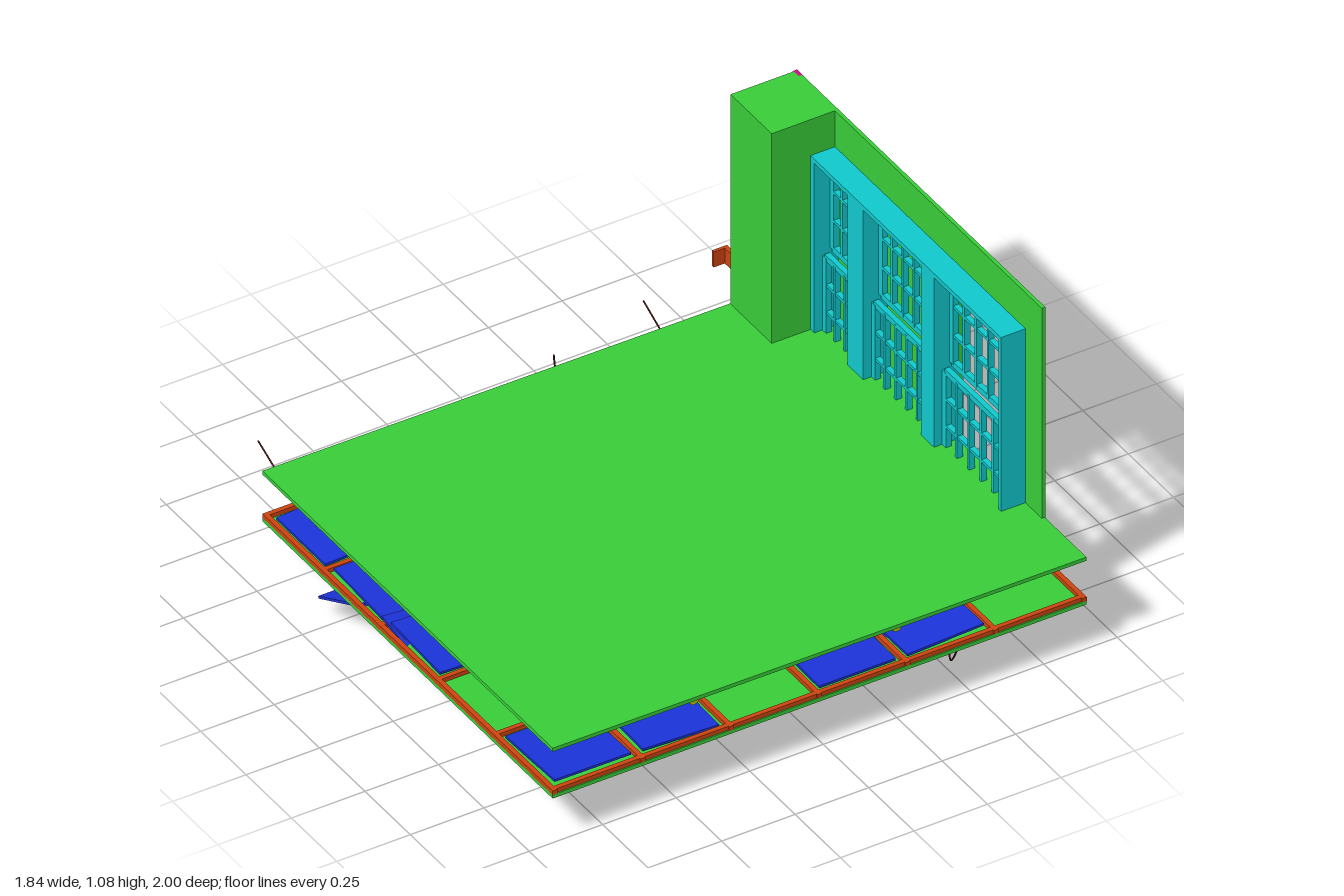
import * as THREE from 'three';

const mat = (color) => new THREE.MeshStandardMaterial({ color });

export function createModel() {
  const root = new THREE.Group();
  const green = mat(0x38cc38), cyan = mat(0x10c8cc), yellow = mat(0xbcc000), blue = mat(0x1c33d8);
  const orange = mat(0xcc4410), magenta = mat(0xcc1088), dark = mat(0x4a1818);

  const add = (name, geo, m, parent = root) => {
    const mesh = new THREE.Mesh(geo, m);
    mesh.name = name;
    parent.add(mesh);
    return mesh;
  };
  // Box given by its lower and upper limits on each axis
  const box = (name, m, x0, x1, y0, y1, z0, z1, parent) => {
    const mesh = add(name, new THREE.BoxGeometry(x1 - x0, y1 - y0, z1 - z0), m, parent);
    mesh.position.set((x0 + x1) / 2, (y0 + y1) / 2, (z0 + z1) / 2);
    return mesh;
  };
  // Upright wall in the zy plane with rectangular openings [z0, z1, y0, y1]
  const rect = (P, z0, z1, y0, y1) => {
    const p = new P();
    p.moveTo(-z1, y0);
    p.lineTo(-z0, y0);
    p.lineTo(-z0, y1);
    p.lineTo(-z1, y1);
    p.closePath();
    return p;
  };
  const wall = (name, m, x0, x1, outline, holes) => {
    const s = rect(THREE.Shape, ...outline);
    s.holes = holes.map((h) => rect(THREE.Path, ...h));
    const mesh = add(name, new THREE.ExtrudeGeometry(s, { depth: x1 - x0, bevelEnabled: false }), m);
    mesh.rotation.y = Math.PI / 2;
    mesh.position.x = x0;
    return mesh;
  };
  const pipe = (name, a, b, r) => {
    const path = new THREE.LineCurve3(new THREE.Vector3(...a), new THREE.Vector3(...b));
    const mesh = add(name, new THREE.CylinderGeometry(r, r, path.getLength(), 16), yellow);
    mesh.position.copy(path.getPoint(0.5));
    mesh.quaternion.setFromUnitVectors(new THREE.Vector3(0, 1, 0), path.getTangent(0));
    return mesh;
  };

  // Floor above and ceiling board below
  const floor = box('upperFloor', green, -0.92, 0.895, 0.325, 0.338, -0.6, 1);
  floor.rotation.z = -0.006;
  box('ceilingBoard', green, -0.92, 0.895, 0.163, 0.176, -0.6, 1);

  // Ceiling grid
  const grid = new THREE.Group();
  grid.name = 'ceilingGrid';
  root.add(grid);
  const NX = 6, NZ = 5, sx = 1.8 / NX, sz = 1.58 / NZ;
  for (let i = 0; i <= NX; i++) {
    const x = -0.912 + i * sx;
    box('gridBarLong', orange, x - 0.008, x + 0.008, 0.174, 0.19, -0.6, 1, grid);
  }
  for (let j = 0; j <= NZ; j++) {
    const z = -0.592 + j * sz;
    box('gridBarCross', orange, -0.92, 0.895, 0.174, 0.19, z - 0.008, z + 0.008, grid);
  }

  // Loose ceiling tiles, each tilted a little by rule
  const tiles = new THREE.Group();
  tiles.name = 'ceilingTiles';
  root.add(tiles);
  for (let i = 0; i < NX; i++) for (let j = 0; j < NZ; j++) {
    if ((i * 2 + j) % 5 === 3 || (i === 5 && j > 2)) continue;
    const t = box('ceilingTile', blue, -0.13, 0.13, -0.004, 0.004, -0.135, 0.135, tiles);
    t.position.set(-0.912 + (i + 0.5) * sx, 0.188, -0.592 + (j + 0.5) * sz);
    t.rotation.set(0.05 * Math.sin(i * 3 + j), 0, 0.05 * Math.cos(i + j * 2));
  }
  // Tiles broken through the ceiling: x, y, z, tilt about x, tilt about z
  [
    [0.55, 0.165, 0.54, 0.25, 0.08], [0.32, 0.172, 0.31, 0.2, 0.12], [0.54, 0.165, -0.38, 0.3, -0.08],
    [-0.13, 0.15, 0.03, 0.5, 0.05], [-0.8, 0.17, 0.12, 0.2, -0.1], [0.3, 0.168, 0.86, 0.25, 0.1],
    [-0.58, 0.175, 0.75, 0.2, -0.15],
  ].forEach(([x, y, z, rx, rz]) => {
    const t = box('fallenTile', blue, -0.1, 0.1, -0.004, 0.004, -0.1, 0.1, tiles);
    t.position.set(x, y, z);
    t.rotation.set(rx, 0, rz);
  });
  const hanging = box('hangingTile', blue, -0.1, 0.1, -0.004, 0.004, -0.13, 0.13, tiles);
  hanging.position.set(-0.81, 0.125, -0.19);
  hanging.rotation.x = -0.45;

  // Ducts and pipes between the two boards
  pipe('mainDuct', [-0.71, 0.25, 0.2], [0.03, 0.245, 0.2], 0.042);
  pipe('mainDuct', [0.02, 0.25, 0.24], [0.885, 0.243, 0.24], 0.037);
  pipe('thinPipe', [-0.37, 0.308, 0.45], [0.32, 0.302, 0.45], 0.017);
  pipe('thinPipe', [0.32, 0.31, 0.35], [0.88, 0.304, 0.35], 0.017);
  for (const [x, y, r] of [[-0.42, 0.305, 0.016], [0.27, 0.303, 0.016]])
    pipe('crossPipe', [x, y, -0.57], [x, y, 0.97], r);
  [[-0.8, 0.25, -0.5], [-0.53, 0.25, -0.52], [0.09, 0.25, -0.54], [0.3, 0.25, -0.52], [-0.8, 0.25, 0.72]]
    .forEach(([x, y, z], i) => {
      const b = box('squareDuct', yellow, -0.03, 0.03, -0.03, 0.03, -0.07, 0.07);
      b.position.set(x, y, z);
      b.rotation.set(0, (i % 3 - 1) * 0.3, 0.35);
    });

  // Loose cables sagging beneath: start, low point, end
  const cable = (a, low, b) => {
    const pts = [a, low, b].map((p) => new THREE.Vector3(...p));
    const mid = (p, q) => p.clone().lerp(q, 0.5).setY(p.y * 0.35 + q.y * 0.65);
    const path = new THREE.CatmullRomCurve3([pts[0], mid(pts[0], pts[1]), pts[1], mid(pts[2], pts[1]), pts[2]]);
    add('cable', new THREE.TubeGeometry(path, 28, 0.0028, 6), dark);
  };
  [
    [[-0.74, 0.18, 0.6], [-0.69, 0.03, 0.78], [-0.65, 0.18, 0.93]],
    [[-0.7, 0.18, 0.7], [-0.42, 0.065, 0.72], [-0.2, 0.18, 0.62]],
    [[-0.68, 0.18, 0.72], [-0.44, 0.08, 0.7], [-0.2, 0.18, 0.64]],
    [[-0.25, 0.18, 0.18], [-0.13, 0.035, 0.04], [0.0, 0.18, -0.1]],
    [[-0.24, 0.18, 0.2], [-0.19, 0.015, 0.02], [0.01, 0.18, -0.12]],
    [[0.02, 0.18, -0.22], [0.11, 0.035, -0.6], [0.2, 0.2, -0.81]],
    [[0.5, 0.18, 0.95], [0.53, 0.008, 0.84], [0.65, 0.18, 0.63]],
    [[0.65, 0.18, -0.3], [0.6, 0.04, -0.62], [0.56, 0.2, -0.9]],
    [[-0.66, 0.18, -0.28], [-0.71, 0.05, -0.62], [-0.75, 0.2, -0.9]],
  ].forEach((c) => cable(...c));

  // Side wall, corner pier and trim
  wall('sideWall', green, 0.885, 0.897, [-0.57, 0.77, 0.165, 1.085], [[0.31, 0.665, 0.29, 0.94]]);
  box('cornerPier', green, 0.67, 0.885, 0.18, 1.085, -0.597, -0.37);
  box('cornerTrim', magenta, 0.883, 0.898, 0.18, 1.085, -0.6, -0.565);

  // Inner window bay: lid, sill, end board and mullions
  const bay = new THREE.Group();
  bay.name = 'windowBay';
  root.add(bay);
  box('bayLid', cyan, 0.802, 0.885, 0.94, 0.956, -0.37, 0.68, bay);
  box('baySill', cyan, 0.802, 0.885, 0.28, 0.295, -0.37, 0.68, bay);
  for (const [z0, z1] of [[0.665, 0.68], [0.24, 0.31], [-0.165, -0.08], [-0.37, -0.35]])
    box('bayPost', cyan, 0.802, 0.885, 0.28, 0.95, z0, z1, bay);

  // Sash windows with glazing bars
  const sash = (z0, z1, y0, y1, x, cols, rows) => {
    const g = new THREE.Group();
    g.name = 'windowSash';
    bay.add(g);
    for (let i = 0; i <= cols; i++) {
      const z = z0 + ((z1 - z0) * i) / cols, h = i % cols ? 0.005 : 0.01;
      box('uprightBar', cyan, x - 0.01, x + 0.01, y0, y1, z - h, z + h, g);
    }
    for (let j = 0; j <= rows; j++) {
      const y = y0 + ((y1 - y0) * j) / rows, h = j % rows ? 0.005 : 0.01;
      box('crossBar', cyan, x - 0.009, x + 0.009, y - h, y + h, z0, z1, g);
    }
  };
  for (const [z0, z1, cols] of [[0.32, 0.655, 5], [-0.07, 0.23, 5], [-0.34, -0.175, 3]]) {
    sash(z0, z1, 0.62, 0.93, 0.865, cols, 3);
    sash(z0, z1, 0.31, 0.6, 0.84, cols, 3);
  }

  // Raised trim on the outside of the wall
  const trim = (y0, y1, z0, z1, x1 = 0.903) => box('wallTrim', cyan, 0.89, x1, y0, y1, z0, z1);
  trim(0.94, 0.955, -0.54, 0.685);
  trim(0.275, 0.288, -0.28, 0.685);
  for (const [z0, z1] of [[0.665, 0.685], [0.295, 0.31], [0.26, 0.285], [0.235, 0.25], [-0.065, -0.05],
    [-0.09, -0.08], [-0.165, -0.1], [-0.45, -0.43], [-0.51, -0.49], [-0.54, -0.53]])
    trim(0.288, 0.94, z0, z1);
  trim(0.73, 0.742, -0.6, 0.085, 0.908);
  for (const z of [0.077, -0.212]) trim(0.175, 0.73, z - 0.009, z + 0.009, 0.908);

  // Outer door wall with its slot, panels and small frame
  wall('doorWall', green, 0.898, 0.907, [-0.885, -0.28, 0.18, 0.72], [[-0.81, -0.75, 0.29, 0.66]]);
  for (const [y0, y1, z0, z1] of [[0.18, 0.335, -0.59, -0.28], [0.18, 0.29, -0.875, -0.602], [0.42, 0.54, -0.332, -0.29]])
    box('lowerPanel', magenta, 0.896, 0.91, y0, y1, z0, z1);
  wall('smallFrame', cyan, 0.9, 0.912, [-0.435, -0.373, 0.465, 0.665], [[-0.427, -0.381, 0.473, 0.657]]);
  wall('slotFrame', cyan, 0.896, 0.909, [-0.816, -0.744, 0.284, 0.666], [[-0.81, -0.75, 0.29, 0.66]]);
  box('doorHandle', dark, 0.88, 0.92, 0.456, 0.463, -0.875, -0.835);

  // Side beam with a hooked end, and the beam along the back edge
  box('sideBeam', orange, 0.875, 0.918, 0.15, 0.205, -0.78, -0.19);
  box('beamTail', orange, 0.893, 0.907, 0.15, 0.205, -1, -0.78);
  box('beamHook', orange, 0.855, 0.907, 0.15, 0.205, -1, -0.99);
  box('backBeam', orange, 0.67, 0.89, 0.15, 0.195, -0.6, -0.575);
  return root;
}
